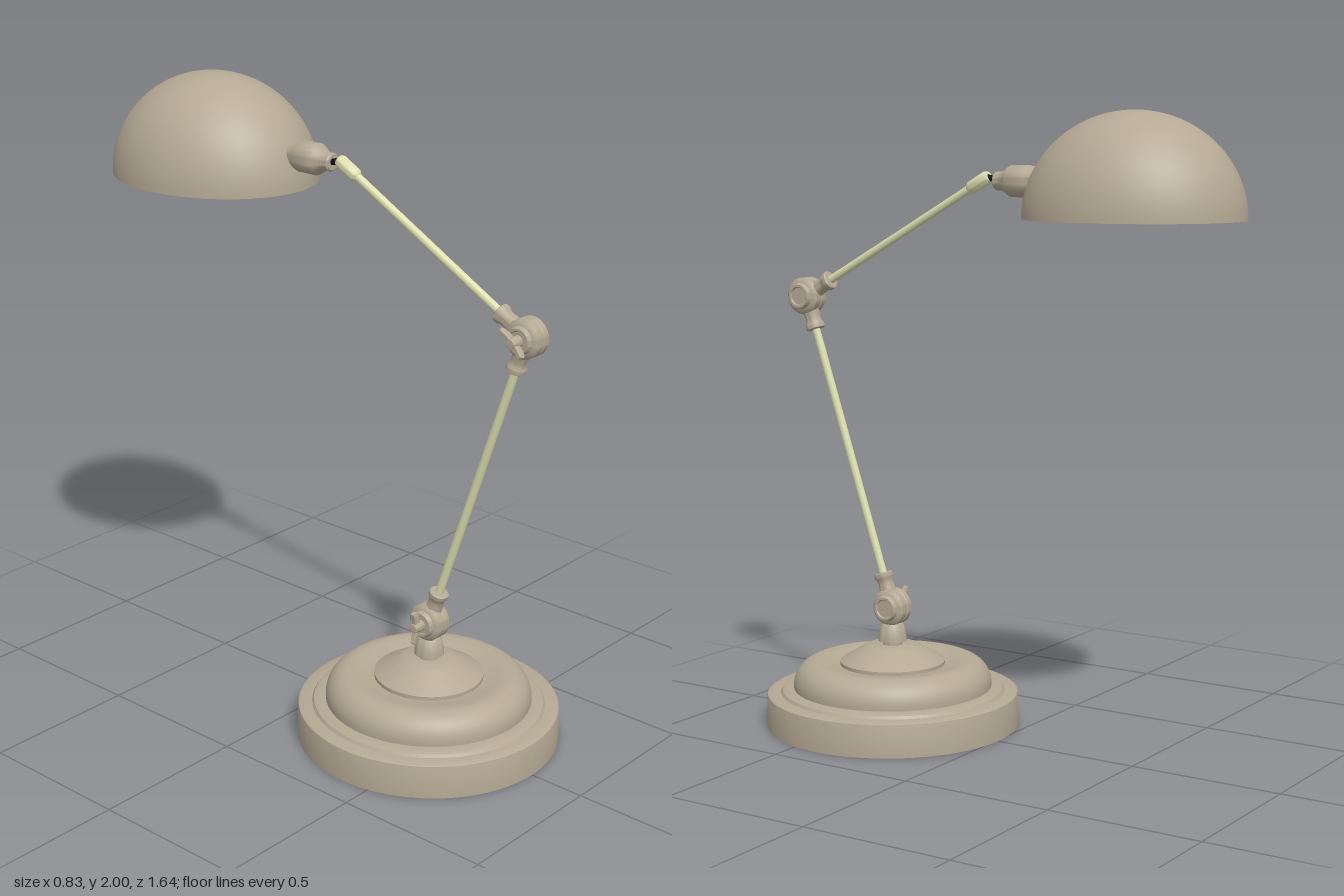
import * as THREE from 'three';
import { toCreasedNormals } from 'three/addons/utils/BufferGeometryUtils.js';

const metal = new THREE.MeshStandardMaterial({ color: 0xb5a994 });
const brass = new THREE.MeshStandardMaterial({ color: 0xdde0b0 });
const black = new THREE.MeshStandardMaterial({ color: 0x111111 });
const V = (x, y, z) => new THREE.Vector3(x, y, z);
const UP = V(0, 1, 0);

// Turned part: profile of [radius, height], its axis laid along dir from pos
function turned(name, profile, pos, dir = UP, material = metal, segments = 32) {
  const pts = profile.map(([r, h]) => new THREE.Vector2(r, h));
  const geo = toCreasedNormals(new THREE.LatheGeometry(pts, segments), 0.6);
  const mesh = new THREE.Mesh(geo, material);
  mesh.name = name;
  mesh.position.copy(pos);
  mesh.quaternion.setFromUnitVectors(UP, dir);
  return mesh;
}

// Plain round bar between two points
function bar(name, a, b, radius, material) {
  const d = b.clone().sub(a);
  const l = d.length();
  return turned(name, [[0, 0], [radius, 0], [radius, l], [0, l]], a, d.normalize(), material, 20);
}

// Quarter-ellipse profile points, from angle a to b
function arc(cx, cy, rx, ry, a, b, n) {
  return Array.from({ length: n + 1 }, (_, i) => {
    const t = a + (b - a) * i / n;
    return [Math.max(0, cx + rx * Math.cos(t)), cy + ry * Math.sin(t)];
  });
}

// Flared collar that holds a rod, starting inside the joint
const collar = (name, pos, dir) => turned(name, [
  [0, 0.03], [0.028, 0.03], [0.026, 0.065], [0.024, 0.08], [0.026, 0.092],
  [0.031, 0.1], [0.031, 0.113], [0.027, 0.116], [0, 0.116],
], pos, dir, metal, 24);

// Swivel joint with its wing nut on the right-hand side
function joint(name, pos, wingAngle) {
  const g = new THREE.Group();
  g.name = name;
  g.position.copy(pos);
  g.add(turned('jointBody', [
    [0, -0.044], [0.028, -0.044], [0.031, -0.048], [0.038, -0.048], [0.041, -0.042],
    [0.043, -0.034], [0.055, -0.03], [0.06, -0.024], [0.06, -0.006], [0.057, -0.003],
    [0.057, 0.003], [0.06, 0.006], [0.06, 0.024], [0.055, 0.03], [0.043, 0.034],
    [0.041, 0.042], [0.038, 0.048], [0.031, 0.048], [0.028, 0.044], [0, 0.044],
  ], V(0, 0, 0), V(1, 0, 0), metal, 40));
  const nut = new THREE.Group();
  nut.name = 'wingNut';
  nut.rotation.x = wingAngle;
  nut.add(turned('nutHub', [[0, 0.04], [0.018, 0.04], [0.018, 0.062], [0.014, 0.083], [0, 0.085]],
    V(0, 0, 0), V(-1, 0, 0), metal, 20));
  // Two ears curving outward
  const s = new THREE.Shape();
  s.moveTo(-0.055, 0);
  s.quadraticCurveTo(-0.056, 0.03, -0.066, 0.048);
  s.quadraticCurveTo(-0.076, 0.058, -0.084, 0.048);
  s.quadraticCurveTo(-0.077, 0.025, -0.075, 0);
  s.closePath();
  const ear = new THREE.ExtrudeGeometry(s, {
    depth: 0.01, bevelSize: 0.002, bevelThickness: 0.002, bevelSegments: 2, curveSegments: 6,
  });
  ear.translate(0, 0, -0.005);
  for (const turn of [0, Math.PI]) {
    const m = new THREE.Mesh(toCreasedNormals(ear, 0.6), metal);
    m.name = 'nutEar';
    m.rotation.x = turn;
    nut.add(m);
  }
  g.add(nut);
  return g;
}

export function createModel() {
  const model = new THREE.Group();
  model.name = 'deskLamp';
  const low = V(0, 0.39, 0.405), elbow = V(0, 1.398, 0.743), tip = V(0, 1.798, 0.025);
  const baseAt = V(0, 0, 0.405);
  const lowerDir = elbow.clone().sub(low).normalize();
  const upperDir = tip.clone().sub(elbow).normalize();

  // Stepped round base
  model.add(turned('base', [
    [0, 0], [0.413, 0], [0.413, 0.1], [0.411, 0.107], [0.404, 0.111],
    [0.368, 0.112], [0.362, 0.121], [0.352, 0.125], [0.325, 0.126], [0.325, 0.135],
    ...arc(0.25, 0.137, 0.075, 0.077, 0.1, Math.PI / 2, 9),
    [0.22, 0.21], [0.195, 0.203], [0.17, 0.2], [0, 0.2],
  ], baseAt, UP, metal, 72));
  // Conical cap over the base
  model.add(turned('baseCap', [
    [0, 0.2], [0.172, 0.2], [0.172, 0.212], [0.092, 0.26], [0.08, 0.265], [0, 0.265],
  ], baseAt, UP, metal, 56));
  // Foot carrying the lower joint
  model.add(turned('foot', [
    [0, 0.26], [0.032, 0.26], [0.032, 0.278], [0.047, 0.278], [0.046, 0.292],
    [0.038, 0.33], [0.034, 0.335], [0.026, 0.336], [0.026, 0.37], [0, 0.37],
  ], baseAt));

  // Joints, collars and arms
  model.add(joint('lowerJoint', low, 0));
  model.add(joint('elbowJoint', elbow, -0.85));
  model.add(collar('lowerCollar', low, lowerDir));
  model.add(collar('elbowLowerCollar', elbow, lowerDir.clone().negate()));
  model.add(collar('elbowUpperCollar', elbow, upperDir));
  const along = (p, d, t) => p.clone().addScaledVector(d, t);
  model.add(bar('lowerArm', along(low, lowerDir, 0.1), along(elbow, lowerDir, -0.1), 0.013, brass));
  model.add(bar('upperArm', along(elbow, upperDir, 0.1), along(tip, upperDir, -0.06), 0.013, brass));
  model.add(turned('armSleeve', [
    [0, -0.085], [0.015, -0.085], [0.021, -0.075], [0.021, -0.008], [0.017, 0], [0, 0],
  ], tip, upperDir, brass, 24));
  model.add(bar('swivelPin', V(0, 1.795, 0.035), V(0, 1.783, -0.02), 0.01, black));

  // Bulb socket behind the shade
  model.add(turned('socket', [
    [0, 0], [0.024, 0], [0.029, 0.005], [0.029, 0.02], [0.034, 0.038], [0.045, 0.052],
    [0.049, 0.06], [0.049, 0.125], [0.046, 0.13], [0.046, 0.16], [0, 0.16],
  ], V(0.003, 1.784, -0.002), V(0, 0, -1)));

  // Hollow oval shade
  const q = Math.PI / 2;
  const shade = turned('shade', [
    ...arc(0, 0, 0.97, 0.97, q, 0, 24),
    ...arc(0, 0, 1, 1, 0, q, 24),
  ], V(-0.026, 1.675, -0.473), UP, metal, 72);
  shade.scale.set(0.292, 0.325, 0.347);
  shade.rotation.y = 0.1;
  model.add(shade);
  return model;
}
